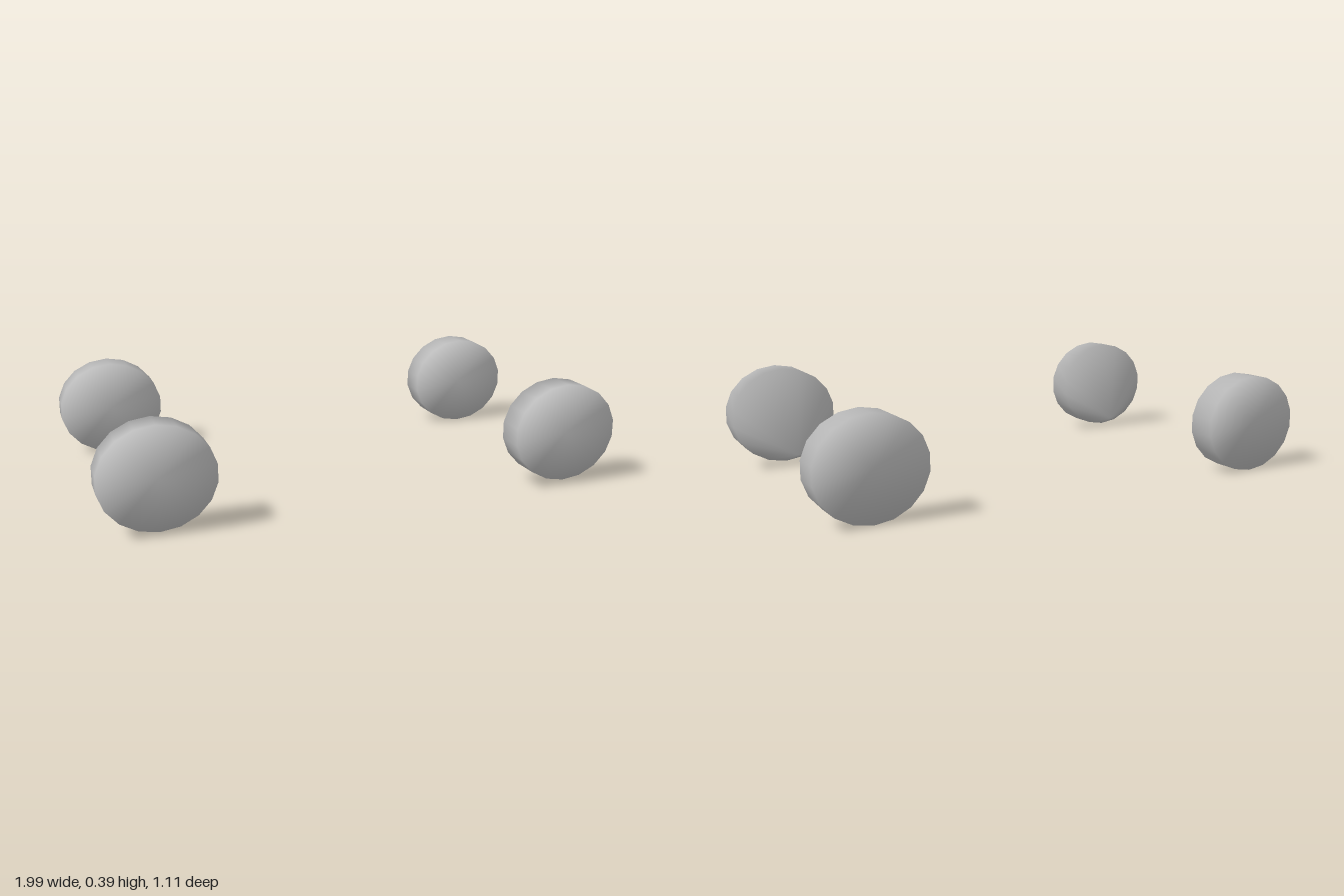
import * as THREE from 'three';
import { mergeVertices } from 'three/addons/utils/BufferGeometryUtils.js';

// Slightly oval solid disc along z, with normals smoothed across its edges.
// pinched: the rear cap fans out from a point low on its rim.
function wheelGeometry(pinched) {
  const rx = 0.208, ry = 0.188, depth = 0.112;
  let geo = new THREE.CylinderGeometry(1, 1, depth, 18);
  geo.rotateX(Math.PI / 2);
  geo.scale(rx, ry, 1);
  geo.deleteAttribute('uv');
  geo.deleteAttribute('normal');
  geo = mergeVertices(geo, 1e-4);
  if (pinched) {
    const pos = geo.attributes.position;
    for (let i = 0; i < pos.count; i++) {
      const central = Math.hypot(pos.getX(i), pos.getY(i)) < 0.01;
      if (central && pos.getZ(i) < 0) pos.setXY(i, -0.05, -0.17);
    }
  }
  geo.computeVertexNormals();
  return geo;
}

export function createModel() {
  const model = new THREE.Group();
  model.name = 'wheelSet';
  const material = new THREE.MeshStandardMaterial({ color: 0xcccccc });
  const frontGeometry = wheelGeometry(true);
  const rearGeometry = wheelGeometry(false);

  // Four separate wheels, each slightly offset from a perfect rectangle
  const wheels = [
    ['frontLeftWheel', 0.792, 0.207, 0.47, frontGeometry],
    ['frontRightWheel', -0.765, 0.202, 0.497, frontGeometry],
    ['rearLeftWheel', 0.792, 0.19, -0.471, rearGeometry],
    ['rearRightWheel', -0.792, 0.188, -0.5, rearGeometry],
  ];
  for (const [name, x, y, z, geometry] of wheels) {
    const wheel = new THREE.Mesh(geometry, material);
    wheel.name = name;
    wheel.position.set(x, y, z);
    model.add(wheel);
  }
  return model;
}
